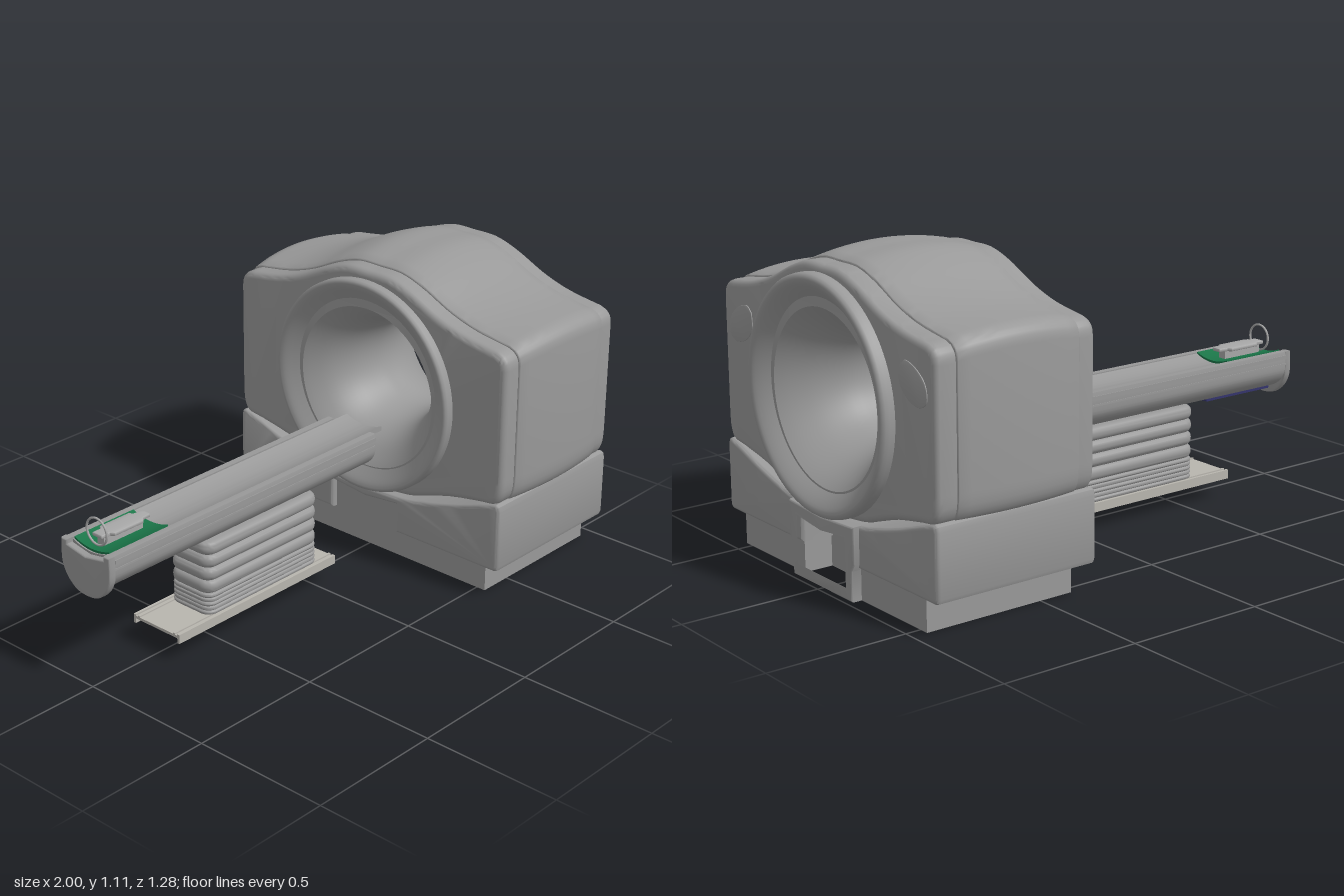
import * as THREE from 'three';
import { toCreasedNormals } from 'three/addons/utils/BufferGeometryUtils.js';

const V = (x, y) => new THREE.Vector2(x, y);
const TABLE_Z = -0.01;

export function createModel() {
  const mat = (name, color, side = THREE.FrontSide) => {
    const m = new THREE.MeshStandardMaterial({ color, side });
    m.name = name;
    return m;
  };
  const shell = mat('shell grey', 0x999999);
  const plateGrey = mat('floor plate grey', 0xb8b5ae);
  const restGrey = mat('headrest grey', 0xa8a8a8);
  const green = mat('pad green', 0x1a7548);
  const blue = mat('panel blue', 0x34346c);

  const root = new THREE.Group();
  root.name = 'bodyScanner';
  const group = (name) => {
    const g = new THREE.Group();
    g.name = name;
    root.add(g);
    return g;
  };
  const add = (parent, name, geo, material) => {
    const m = new THREE.Mesh(geo, material);
    m.name = name;
    parent.add(m);
    return m;
  };
  const box = (parent, name, x0, x1, y0, y1, z0, z1, material) =>
    add(parent, name, new THREE.BoxGeometry(x1 - x0, y1 - y0, z1 - z0)
      .translate((x0 + x1) / 2, (y0 + y1) / 2, (z0 + z1) / 2), material);

  // Extrudes a shape between two depths with rounded edges, along z
  const extrude = (shape, a, b, bevel = 0, steps = 1) =>
    new THREE.ExtrudeGeometry(shape, {
      depth: b - a - 2 * bevel, steps, curveSegments: 40, bevelEnabled: bevel > 0,
      bevelThickness: bevel, bevelSize: bevel, bevelOffset: -bevel, bevelSegments: 4,
    }).translate(0, 0, a + bevel);
  // Cross-section (across, up) swept along x
  const alongX = (shape, a, b, bevel, steps, rule) => {
    const g = extrude(shape, a, b, bevel, steps).rotateY(Math.PI / 2);
    if (rule) {
      const p = g.attributes.position;
      const v = new THREE.Vector3();
      for (let i = 0; i < p.count; i++) {
        rule(v.fromBufferAttribute(p, i));
        p.setXYZ(i, v.x, v.y, v.z);
      }
    }
    return toCreasedNormals(g, 0.6);
  };
  // Plan shape (x, -z) raised along y
  const alongY = (shape, a, b, bevel) =>
    toCreasedNormals(extrude(shape, a, b, bevel).rotateX(-Math.PI / 2), 0.6);
  // Closes a half outline, running from top centre to bottom centre, by mirroring
  const mirrored = (half, cx = 0) => new THREE.Shape([
    ...half.map((p) => V(cx + p.x, p.y)),
    ...half.filter((p) => p.x > 0.0005).reverse().map((p) => V(cx - p.x, p.y)),
  ]);
  const spline = (pts, n) => new THREE.SplineCurve(pts.map(([x, y]) => V(x, y))).getPoints(n);

  // ---- Gantry housing: bulged middle, slightly smaller end covers ----
  const gantry = group('gantry');
  const half = [
    ...spline([[0, 1.105], [0.1, 1.103], [0.2, 1.072], [0.33, 1.012], [0.45, 0.975], [0.59, 0.953]], 26),
    ...spline([[0.615, 0.943], [0.634, 0.922], [0.64, 0.89]], 5),
    ...spline([[0.64, 0.46], [0.636, 0.41], [0.62, 0.372], [0.595, 0.357]], 7),
    ...spline([[0.54, 0.35], [0.4, 0.323], [0.28, 0.285], [0.2, 0.262], [0, 0.24]], 12),
  ];
  const housing = mirrored(half);
  housing.holes.push(new THREE.Path().absarc(0, 0.645, 0.34, 0, Math.PI * 2, true));
  add(gantry, 'middleHousing', alongX(housing, 0.41, 0.88, 0.006, 12, (v) => {
    const t = ((v.x - 0.645) / 0.235) ** 2;
    v.z *= 1 - 0.03 * t;
    v.y = 0.36 + (v.y - 0.36) * (1 - 0.037 * t);
  }), shell);
  const shrink = (v) => {
    v.z *= 0.96;
    v.y = 0.36 + (v.y - 0.36) * 0.953;
  };
  add(gantry, 'tableSideCover', alongX(housing, 0.34, 0.45, 0.025, 1, shrink), shell);
  add(gantry, 'farSideCover', alongX(housing, 0.84, 0.955, 0.025, 1, shrink), shell);

  // Bore with flared rims at both ends
  const bore = [
    V(0.4, 0.93), V(0.4, 0.975), V(0.398, 0.988), V(0.392, 0.997),
    ...spline([[0.383, 1], [0.365, 0.994], [0.33, 0.965], [0.28, 0.91], [0.225, 0.83],
      [0.185, 0.74], [0.175, 0.66], [0.176, 0.6], [0.195, 0.5], [0.235, 0.42],
      [0.29, 0.362], [0.335, 0.328], [0.365, 0.308], [0.383, 0.302]], 44),
    V(0.391, 0.305), V(0.395, 0.315), V(0.395, 0.36),
  ];
  add(gantry, 'bore', new THREE.LatheGeometry(bore, 80).rotateZ(-Math.PI / 2)
    .translate(0, 0.645, 0), shell);

  // Teardrop panels on the far face
  for (const s of [1, -1]) {
    const drop = spline([[0.43, 0.835], [0.428, 0.78], [0.47, 0.735], [0.53, 0.72], [0.57, 0.745],
      [0.562, 0.8], [0.515, 0.84], [0.46, 0.856], [0.43, 0.835]], 40).slice(0, -1);
    add(gantry, 'teardropPanel', alongX(new THREE.Shape(drop.map((p) => V(s * p.x, p.y))),
      0.951, 0.958, 0.002), shell);
  }

  // ---- Base with a niche, and plinth ----
  const base = group('gantryBase');
  const baseHalf = [
    ...spline([[0, 0.25], [0.18, 0.256], [0.3, 0.28], [0.42, 0.313], [0.53, 0.35], [0.595, 0.368]], 18),
    V(0.609, 0.362), V(0.614, 0.345), V(0.614, 0.13), V(0.609, 0.116), V(0.595, 0.11),
    V(0.15, 0.11), V(0.15, 0.222), V(0, 0.206),
  ];
  add(base, 'baseCover', alongX(mirrored(baseHalf), 0.335, 0.96, 0.015), shell);
  box(base, 'baseCore', 0.36, 0.84, 0.11, 0.23, -0.17, 0.17, shell);
  box(base, 'plinthCore', 0.375, 0.84, 0, 0.12, -0.535, 0.535, shell);
  for (const s of [-1, 1]) {
    box(base, 'plinthSide', 0.84, 0.945, 0, 0.12, Math.min(s * 0.16, s * 0.535),
      Math.max(s * 0.16, s * 0.535), shell);
  }
  const frame = mirrored([V(0, 0.246), V(0.19, 0.257), V(0.19, 0.13), V(0.175, 0.105), V(0.175, 0), V(0, 0)]);
  const niche = [V(-0.15, 0.035), V(-0.15, 0.222), V(0, 0.206), V(0.15, 0.222), V(0.15, 0.035)];
  frame.holes.push(new THREE.Path(niche));
  add(base, 'nicheFrame', alongX(frame, 0.835, 0.983, 0.008), shell);

  // ---- Patient table ----
  const table = group('table');
  const arc = (w, y, rise, n = 12) => Array.from({ length: n + 1 }, (_, i) => {
    const u = i / n;
    return V(u * w, y + rise * u * u);
  });
  const under = spline([[0.113, 0.465], [0.109, 0.425], [0.085, 0.39], [0.045, 0.366], [0, 0.36]], 16);
  const body = mirrored([V(0, 0.465), V(0.085, 0.49), V(0.085, 0.505), V(0.11, 0.505), V(0.113, 0.49), ...under], -TABLE_Z);
  add(table, 'tableBody', alongX(body, -0.98, 0.28, 0.003), shell);
  // End cap hanging a little lower than the body
  const capUnder = under.map((p) => V(p.x * 1.02, 0.465 - (0.465 - p.y) * 1.28));
  const cap = mirrored([V(0, 0.475), V(0.085, 0.49), V(0.085, 0.506), V(0.113, 0.506), ...capUnder], -TABLE_Z);
  add(table, 'tableEndCap', alongX(cap, -1, -0.972, 0.006), shell);
  for (const s of [-1, 1]) {
    const z = TABLE_Z + s * 0.112;
    box(table, 'sideRail', -0.975, 0.275, 0.478, 0.492, z - 0.004, z + 0.004, shell);
    box(table, 'sideTrim', -0.975, 0.275, 0.455, 0.462, z - 0.003, z + 0.003, shell);
  }
  // Concave sliding top, and the pad lying in it
  const trough = (w, y0, y1, rise) =>
    mirrored([...arc(w, y1, rise), ...arc(w, y0, rise).reverse()], -TABLE_Z);
  add(table, 'slidingTop', alongX(trough(0.082, 0.468, 0.484, 0.018), -0.975, 0.345, 0), shell);
  add(table, 'greenPad', alongX(trough(0.081, 0.483, 0.492, 0.016), -0.97, -0.71, 0), green);
  box(table, 'bluePanel', -0.97, -0.66, 0.351, 0.362, TABLE_Z - 0.03, TABLE_Z + 0.03, blue);

  // Headrest with its hoop
  const rest = group('headrest');
  const plan = mirrored([V(0, -0.73), V(0.018, -0.73), V(0.022, -0.765), V(0.036, -0.775),
    V(0.036, -0.9), V(0.022, -0.91), V(0.022, -0.945), V(0, -0.945)]);
  plan.curves = new THREE.Shape(plan.getPoints().map((p) => V(p.y, p.x - TABLE_Z))).curves;
  add(rest, 'headrestPlate', alongY(plan, 0.522, 0.535, 0.003), restGrey);
  box(rest, 'headrestStem', -0.93, -0.76, 0.488, 0.525, TABLE_Z - 0.016, TABLE_Z + 0.016, restGrey);
  add(rest, 'hoop', new THREE.TorusGeometry(0.047, 0.004, 8, 40).rotateY(Math.PI / 2)
    .translate(-0.945, 0.544, TABLE_Z), restGrey);

  // ---- Bellows column ----
  const column = group('column');
  const roundRect = (hw, hd, r) => {
    const pts = [];
    [[1, 1], [-1, 1], [-1, -1], [1, -1]].forEach(([sx, sy], q) => {
      for (let i = 0; i <= 6; i++) {
        const a = (q + i / 6) * Math.PI / 2;
        pts.push(V(-0.272 + sx * (hw - r) + r * Math.cos(a), -TABLE_Z + sy * (hd - r) + r * Math.sin(a)));
      }
    });
    return new THREE.Shape(pts);
  };
  add(column, 'columnCore', alongY(roundRect(0.26, 0.08, 0.03), 0.095, 0.37, 0), shell);
  for (let i = 0; i < 5; i++) {
    add(column, 'foldedPleat', alongY(roundRect(0.275, 0.095, 0.04), 0.1 + i * 0.016, 0.116 + i * 0.016, 0.0075), shell);
  }
  for (let i = 0; i < 4; i++) {
    add(column, 'openPleat', alongY(roundRect(0.277, 0.097, 0.045), 0.178 + i * 0.048, 0.228 + i * 0.048, 0.021), shell);
  }

  // Floor channel with down-turned sides and raised edge strips
  const floor = group('floorPlate');
  box(floor, 'plateTop', -0.7, 0.07, 0.088, 0.098, TABLE_Z - 0.108, TABLE_Z + 0.108, plateGrey);
  for (const s of [-1, 1]) {
    const z = TABLE_Z + s * 0.104;
    box(floor, 'plateFlange', -0.7, 0.07, 0.07, 0.103, z - 0.005, z + 0.005, plateGrey);
    box(floor, 'plateStrip', -0.7, 0.07, 0.097, 0.103, z - s * 0.02 - 0.004, z - s * 0.02 + 0.004, plateGrey);
  }
  return root;
}
